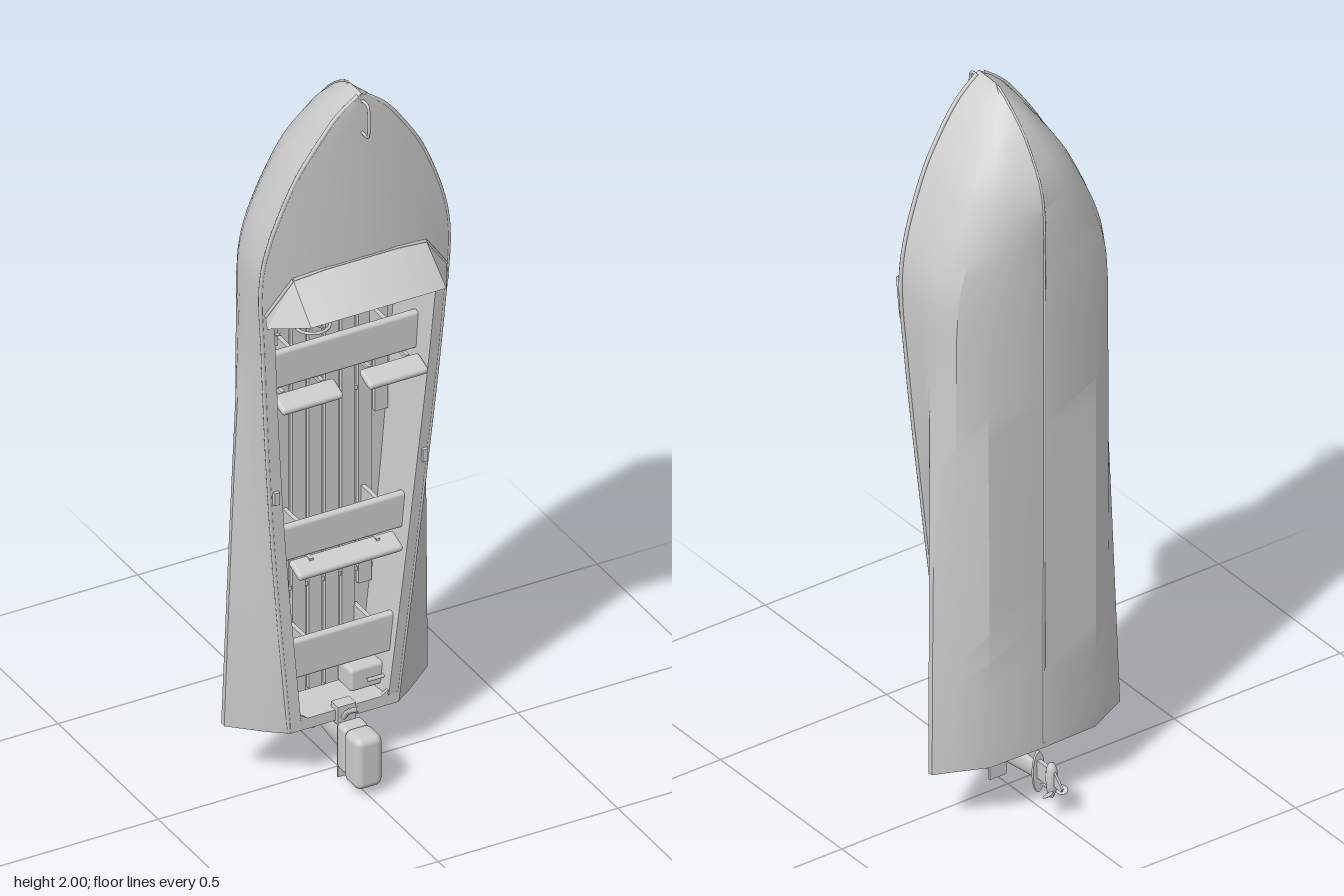
import * as THREE from 'three';
import { toCreasedNormals } from 'three/addons/utils/BufferGeometryUtils.js';
import { RoundedBoxGeometry } from 'three/addons/geometries/RoundedBoxGeometry.js';

const grey = new THREE.MeshStandardMaterial({ color: 0xcccccc });
const greySheet = new THREE.MeshStandardMaterial({ color: 0xcccccc, side: THREE.DoubleSide });
const V = (x, y, z) => new THREE.Vector3(x, y, z);

// Half sections of the hull, gunwale to keel: [x, z] pairs at each station y
const stationY = [0.17, 0.75, 1.3, 1.55, 1.77, 1.9, 1.97, 2];
const stations = [
  [[.15, .03], [.2, 0], [.283, -.06], [.283, -.075], [.235, -.1], [.16, -.143], [0, -.148]],
  [[.208, .05], [.228, -.005], [.27, -.045], [.268, -.06], [.23, -.1], [.16, -.143], [0, -.15]],
  [[.25, .08], [.254, 0], [.256, -.03], [.25, -.05], [.228, -.1], [.16, -.141], [0, -.15]],
  [[.256, .09], [.255, .02], [.25, -.03], [.24, -.06], [.215, -.1], [.14, -.138], [0, -.15]],
  [[.185, .105], [.18, .05], [.168, -.02], [.153, -.055], [.125, -.09], [.075, -.12], [0, -.143]],
  [[.105, .115], [.1, .07], [.088, .02], [.077, -.01], [.06, -.04], [.035, -.06], [0, -.075]],
  [[.045, .118], [.042, .095], [.036, .07], [.03, .05], [.023, .03], [.012, .01], [0, 0]],
  [[0, .12], [0, .11], [0, .1], [0, .09], [0, .08], [0, .065], [0, .05]],
];

// Smooth interpolation of hull line k at height y
function hullPoint(k, y) {
  const last = stationY.length - 1;
  let i = 0;
  while (i < last - 1 && y > stationY[i + 1]) i++;
  const h = stationY[i + 1] - stationY[i], u = (y - stationY[i]) / h;
  const value = (c) => {
    const p = (j) => stations[j][k][c];
    const slope = (j) => {
      const a = Math.max(0, j - 1), b = Math.min(last, j + 1);
      return (p(b) - p(a)) / (stationY[b] - stationY[a]);
    };
    const u2 = u * u, u3 = u2 * u;
    return (2 * u3 - 3 * u2 + 1) * p(i) + (u3 - 2 * u2 + u) * h * slope(i)
      + (3 * u2 - 2 * u3) * p(i + 1) + (u3 - u2) * h * slope(i + 1);
  };
  return V(Math.max(0, value(0)), y, value(1));
}
const sheer = (y) => hullPoint(0, y);
const floorEdge = (y) => sheer(y).x - 0.045;
const range = (a, b, n) => Array.from({ length: n + 1 }, (_, i) => a + (b - a) * i / n);

// Surface through rows of points
function loft(rows, crease = 0.5) {
  const n = rows[0].length, index = [];
  for (let i = 0; i < rows.length - 1; i++)
    for (let j = 0; j < n - 1; j++) {
      const a = i * n + j, b = a + 1, c = a + n, d = c + 1;
      index.push(a, b, c, b, d, c);
    }
  const g = new THREE.BufferGeometry().setFromPoints(rows.flat());
  g.setIndex(index);
  return toCreasedNormals(g, crease);
}
const mirrorX = (p) => V(-p.x, p.y, p.z);

export function createModel() {
  const model = new THREE.Group();
  const add = (name, geometry, x = 0, y = 0, z = 0, parent = model, material = grey) => {
    const m = new THREE.Mesh(geometry, material);
    m.name = name;
    m.position.set(x, y, z);
    parent.add(m);
    return m;
  };
  const sheet = (name, rows, crease) => add(name, loft(rows, crease), 0, 0, 0, model, greySheet);
  const box = (name, w, h, d, x, y, z, parent) => add(name, new THREE.BoxGeometry(w, h, d), x, y, z, parent);
  const pad = (name, w, h, d, x, y, z, r, parent) => add(name, new RoundedBoxGeometry(w, h, d, 3, r), x, y, z, parent);
  const rod = (name, pts, r, parent, seg = 24) =>
    add(name, new THREE.TubeGeometry(new THREE.CatmullRomCurve3(pts, false, 'centripetal'), seg, r, 8), 0, 0, 0, parent);

  // Hull shell with a raked transom
  const ks = [0, 1, 2, 3, 4, 5, 6];
  const half = (y) => ks.map((k) => hullPoint(k, y));
  const stern = half(0.17).map((p) => V(p.x, 0.16 + (0.03 - p.z) * 0.14, p.z));
  const halves = [stern, ...range(0.25, 1.5, 16).map(half), ...range(1.53, 2, 24).map(half)];
  sheet('hull', halves.map((h) => [...h.map(mirrorX), ...h.slice(0, -1).reverse()]));
  sheet('transom', stern.map((p) => [mirrorX(p), p]));

  // Keel strip
  rod('keelStrip', [...range(0.2, 1.7, 6), ...range(1.75, 1.995, 10)].map((y) => hullPoint(6, y)), 0.003, model, 50);

  // Crowned foredeck, its aft edge arching across the cockpit
  sheet('foredeck', range(0, 1, 20).map((t) => range(-1, 1, 16).map((s) => {
    const y0 = 1.51 - 0.1 * s ** 4, y = y0 + (2 - y0) * t, e = sheer(y);
    return V(e.x * s, y, e.z + (0.122 - e.z) * (1 - s * s));
  })));

  // Side decks, coamings and inner walls
  const cockpitY = range(0.19, 1.52, 20);
  for (const side of [1, -1]) {
    sheet('sideDeck', cockpitY.map((y) => {
      const e = sheer(y), inset = y > 1.4 ? 0.02 : 0.03;
      return [V(e.x, y, e.z), V(e.x - inset, y, e.z + 0.004), V(e.x - inset - 0.003, y, e.z - 0.01),
        V(floorEdge(y), y, -0.085)].map((p) => V(p.x * side, p.y, p.z));
    }));
    rod('rubRail', range(0.165, 1.995, 40).map((y) => {
      const e = sheer(y);
      return V((e.x + 0.001) * side, y, e.z - 0.004);
    }), 0.0055, model, 80);
    // Oar sockets
    box('oarSocket', 0.014, 0.035, 0.012, side * (sheer(0.87).x - 0.012), 0.87, sheer(0.87).z + 0.006);
  }

  // Cockpit floor, bulkheads and stern deck
  sheet('floor', cockpitY.map((y) => [V(-floorEdge(y), y, -0.085), V(floorEdge(y), y, -0.085)]));
  for (const y of [0.19, 1.52]) {
    const e = sheer(y);
    sheet('bulkhead', [[V(-floorEdge(y), y, -0.085), V(floorEdge(y), y, -0.085)],
      [V(-e.x + 0.025, y, e.z), V(e.x - 0.025, y, e.z)]]);
  }
  box('sternDeck', 0.3, 0.03, 0.012, 0, 0.176, 0.026);
  for (const side of [1, -1]) {
    const corner = new THREE.Shape([[0, 0], [-0.035, 0], [-0.012, 0.015], [0, 0.045]].map((p) => new THREE.Vector2(...p)));
    const c = add('sternCorner', new THREE.ExtrudeGeometry(corner, { depth: 0.008, bevelEnabled: false }), side * 0.135, 0.19, 0.024, model, greySheet);
    c.scale.x = side;
  }

  // Floor slats start where the hull is wide enough for them
  for (let i = 0; i < 8; i++) {
    const x = (i - 3.5) * 0.046;
    let y0 = 0.2;
    while (y0 < 1.2 && floorEdge(y0) < Math.abs(x) + 0.018) y0 += 0.02;
    box('floorSlat', 0.036, 1.51 - y0, 0.012, x, (1.51 + y0) / 2, -0.077);
  }
  for (const y of [0.5, 1.02, 1.35]) box('floorRib', 2 * floorEdge(y), 0.012, 0.008, 0, y, -0.081);

  // Benches with backrests: [y, height, half width, backrests as [x, width]]
  const benches = [
    [1.205, 0.105, 0.222, [[-0.117, 0.17], [0.122, 0.165]]],
    [0.7, 0.1, 0.183, [[0, 0.29]]],
    [0.36, 0.11, 0.15, []],
  ];
  for (const [y, h, w, backs] of benches) {
    const bench = new THREE.Group();
    bench.name = 'bench';
    model.add(bench);
    pad('seatCushion', 2 * w, h, 0.022, 0, y, 0.012, 0.009, bench);
    for (const s of [-1, 1]) box('seatSupport', 0.012, h * 0.8, 0.085, s * w * 0.6, y, -0.038, bench);
    for (const [x, bw] of backs) {
      const back = pad('backrest', bw, 0.02, 0.06, x, y - h / 2 - 0.02, y * 0.04 + 0.012, 0.009, bench);
      back.rotation.x = 0.35;
      for (const s of [-1, 1]) box('backrestPost', 0.01, 0.012, 0.05, x + s * bw * 0.32, y - h / 2 - 0.008, 0.01, bench);
    }
  }

  // Wraparound windscreen
  const base = [[0, 1.53, .12], [.1, 1.527, .116], [.185, 1.515, .108], [.252, 1.42, .09]];
  const rim = [[0, 1.445, .225], [.1, 1.443, .222], [.188, 1.43, .204], [.253, 1.39, .1]];
  const across = (pts) => [...pts.slice(1).reverse().map(([x, y, z]) => V(-x, y, z)), ...pts.map((p) => V(...p))];
  sheet('windscreen', [across(base), across(rim)], 0.3);
  const frame = across(base);
  for (let i = 0; i < frame.length - 1; i++) rod('windscreenFrame', [frame[i], frame[i + 1]], 0.004, model, 1);

  // Steering wheel, column and throttle
  const wheel = new THREE.Group();
  wheel.name = 'steeringWheel';
  wheel.position.set(-0.13, 1.37, 0.105);
  wheel.rotation.x = Math.PI / 2;
  model.add(wheel);
  add('wheelRim', new THREE.TorusGeometry(0.043, 0.004, 8, 28), 0, 0, 0, wheel);
  for (let i = 0; i < 3; i++) box('wheelSpoke', 0.084, 0.005, 0.004, 0, 0, 0, wheel).rotation.z = i * Math.PI / 3;
  rod('steeringColumn', [V(-0.13, 1.37, 0.105), V(-0.13, 1.5, 0.085)], 0.006, model, 1);
  box('throttleBox', 0.016, 0.05, 0.025, -0.215, 1.34, 0.06);
  rod('throttleLever', [V(-0.213, 1.34, 0.06), V(-0.21, 1.36, 0.095)], 0.004, model, 1);

  // Bow handle and stern locker
  rod('bowHandle', [V(0, 1.89, .115), V(0, 1.89, .148), V(0, 1.9, .153), V(0, 1.97, .153), V(0, 1.98, .148), V(0, 1.98, .115)], 0.004, model, 30);
  pad('fuelTank', 0.1, 0.065, 0.07, 0.085, 0.235, -0.035, 0.01);
  rod('fuelTankHandle', [V(0.075, 0.232, 0.008), V(0.13, 0.232, 0.008)], 0.005, model, 1);

  // Outboard motor
  const motor = new THREE.Group();
  motor.name = 'outboardMotor';
  model.add(motor);
  pad('engineCowl', 0.075, 0.145, 0.075, 0, 0.1, 0.127, 0.02, motor);
  pad('engineBase', 0.068, 0.13, 0.045, 0, 0.105, 0.073, 0.012, motor);
  box('mountPlate', 0.05, 0.16, 0.006, 0, 0.085, 0.042, motor);
  const leg = add('driveLeg', new THREE.CylinderGeometry(0.042, 0.022, 0.17, 20), 0, 0.105, -0.035, motor);
  leg.rotation.x = Math.PI / 2;
  leg.scale.x = 0.42;
  box('clampBracket', 0.05, 0.05, 0.035, 0, 0.18, 0.028, motor);
  box('clampJaw', 0.04, 0.012, 0.07, 0, 0.152, 0, motor);
  rod('tiller', [V(-0.015, 0.18, 0.055), V(-0.015, 0.205, 0.075), V(-0.015, 0.245, 0.132)], 0.007, motor);
  const plate = add('cavitationPlate', new THREE.CylinderGeometry(0.058, 0.058, 0.007, 24), 0, 0.105, -0.125, motor);
  plate.rotation.x = Math.PI / 2;
  plate.scale.x = 0.3;
  box('lowerStrut', 0.012, 0.05, 0.06, 0, 0.115, -0.145, motor);
  const pod = [[0, .16], [.008, .155], [.014, .14], [.015, .11], [.012, .08], [.006, .062], [0, .06]];
  add('gearPod', new THREE.LatheGeometry(pod.map((p) => new THREE.Vector2(...p)).reverse(), 16), 0, 0, -0.18, motor);
  const fin = new THREE.Shape([[0.18, 0.15], [0.205, 0.125], [0.226, 0.105], [0.222, 0.095], [0.18, 0.1]].map((p) => new THREE.Vector2(...p)));
  const skeg = add('skeg', new THREE.ExtrudeGeometry(fin, { depth: 0.006, bevelEnabled: false }), -0.003, 0, 0, motor);
  skeg.rotation.y = Math.PI / 2;

  // Three-bladed propeller
  for (let i = 0; i < 3; i++) {
    const arm = new THREE.Group();
    arm.name = 'propellerBlade';
    arm.position.set(0, 0.08, -0.182);
    arm.rotation.y = i * Math.PI * 2 / 3;
    motor.add(arm);
    const blade = add('blade', new THREE.SphereGeometry(0.016, 14, 8), 0, 0, 0.024, arm);
    blade.scale.set(0.9, 0.14, 1);
    blade.rotation.z = 0.5;
  }
  return model;
}
